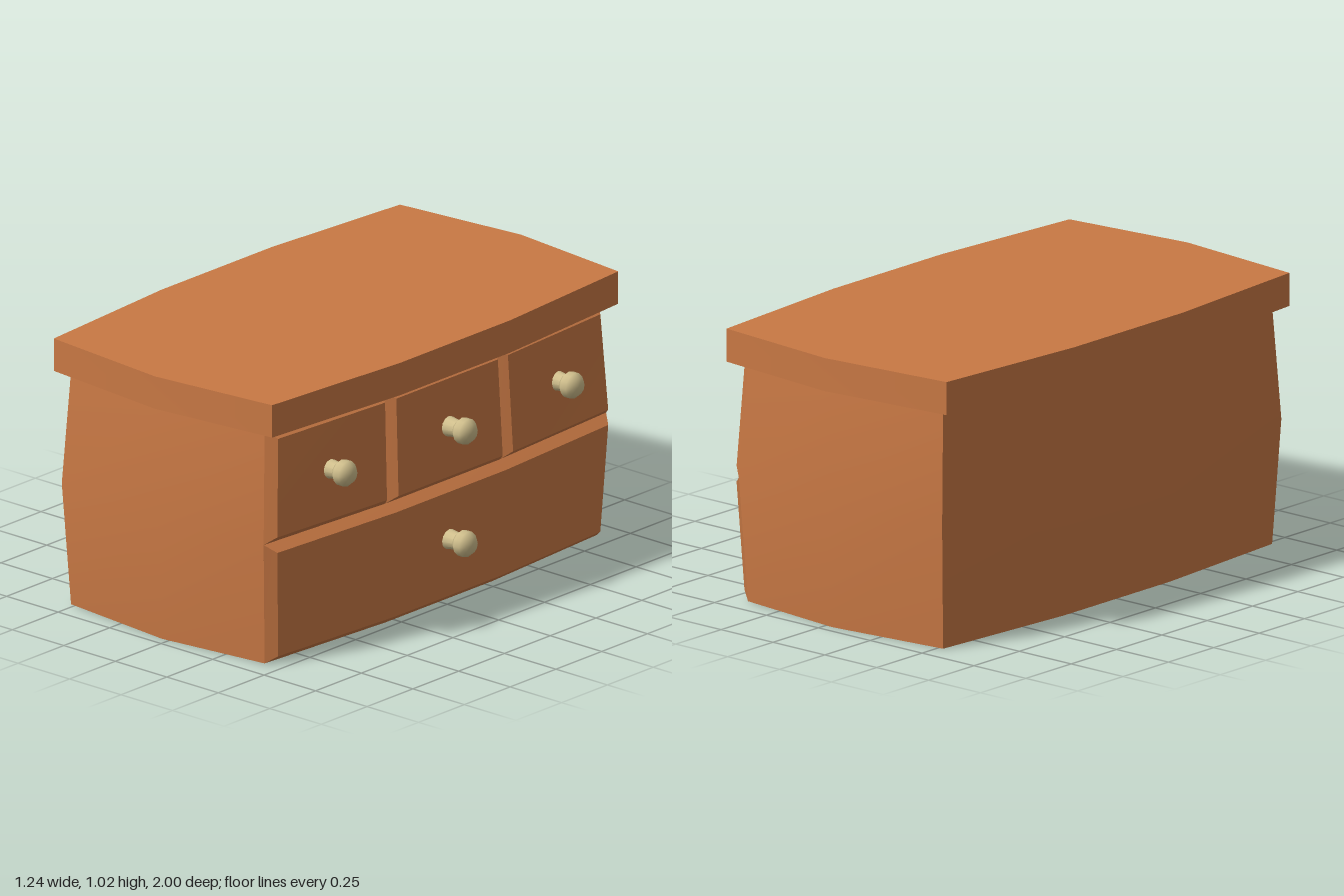
import * as THREE from 'three';
import { toCreasedNormals } from 'three/addons/utils/BufferGeometryUtils.js';

const MID = 0.47, HEIGHT = 0.9;
const CORNER = 0.935, BEND = 0.3, DIVIDER = 0.315;
const BEVEL = 0.03, RAISE = 0.038;

// bulge factor: 0 at the floor and under the lid, 1 at mid height
const bulge = (y) => (y < MID ? y / MID : (HEIGHT - y) / (HEIGHT - MID));
const lengthScale = (y) => 0.97 + 0.03 * bulge(y);

// point on the bowed drawer side of the body, pushed out by a distance
function drawerSide(y, u, out = 0) {
  const slope = Math.max(0, Math.abs(u) - BEND) / (CORNER - BEND);
  return [0.46 + 0.02 * bulge(y) - 0.04 * slope + out, y, u * lengthScale(y)];
}

function quadsToGeometry(quads) {
  const pos = [];
  for (const [a, b, c, d] of quads) pos.push(...a, ...b, ...c, ...a, ...c, ...d);
  const g = new THREE.BufferGeometry();
  g.setAttribute('position', new THREE.Float32BufferAttribute(pos, 3));
  return toCreasedNormals(g, 0.5);
}

// body: three stacked plan sections
function bodyGeometry() {
  const section = (y) => {
    const t = bulge(y), s = lengthScale(y);
    const back = -0.565 - 0.02 * t;
    const half = [
      drawerSide(y, -BEND), drawerSide(y, -CORNER), [-0.03, y, -0.99 * s],
      [back + 0.045, y, -CORNER * s], [back, y, -BEND * s],
    ];
    const mirrored = half.map(([x, h, z]) => [x, h, -z]).reverse();
    return [...half, ...mirrored];
  };
  const rings = [0, MID, HEIGHT].map(section);
  const quads = [];
  const n = rings[0].length;
  for (let r = 0; r < 2; r++) {
    for (let i = 0; i < n; i++) {
      const j = (i + 1) % n;
      quads.push([rings[r][i], rings[r][j], rings[r + 1][j], rings[r + 1][i]]);
    }
  }
  // floor and ceiling, spanned between mirrored points
  for (let i = 0; i < 4; i++) {
    const k = n - 1 - i;
    const [lo, , hi] = rings;
    quads.push([lo[k], lo[k - 1], lo[i + 1], lo[i]]);
    quads.push([hi[i], hi[i + 1], hi[k - 1], hi[k]]);
  }
  return quadsToGeometry(quads);
}

// raised drawer front with bevelled border, following the bowed side
function drawerGeometry(y0, y1, u0, u1) {
  const bends = [BEND, -BEND].filter((u) => u < u0 - 0.05 && u > u1 + 0.05);
  const outer = [u0, ...bends, u1];
  const inner = [u0 - BEVEL, ...bends, u1 + BEVEL];
  const rows = [
    outer.map((u) => drawerSide(y0, u)),
    inner.map((u) => drawerSide(y0 + BEVEL, u, RAISE)),
    inner.map((u) => drawerSide(y1 - BEVEL, u, RAISE)),
    outer.map((u) => drawerSide(y1, u)),
  ];
  const quads = [];
  const n = outer.length - 1;
  for (let r = 0; r < 3; r++) {
    for (let i = 0; i < n; i++) {
      quads.push([rows[r][i], rows[r][i + 1], rows[r + 1][i + 1], rows[r + 1][i]]);
    }
  }
  quads.push([rows[0][0], rows[1][0], rows[2][0], rows[3][0]]);
  quads.push([rows[1][n], rows[0][n], rows[3][n], rows[2][n]]);
  return quadsToGeometry(quads);
}

// lid: extruded bowed outline
function lidGeometry() {
  const half = [[0.54, 0.3], [0.49, 0.945], [-0.03, 1], [-0.57, 0.945], [-0.62, 0.3]];
  const outline = [...half, ...half.map(([x, z]) => [x, -z]).reverse()];
  const shape = new THREE.Shape(outline.map(([x, z]) => new THREE.Vector2(x, z)));
  const g = new THREE.ExtrudeGeometry(shape, { depth: 0.125, bevelEnabled: false });
  g.rotateX(-Math.PI / 2).translate(0, HEIGHT, 0);
  return toCreasedNormals(g, 0.5);
}

// knob: turned profile lying along +x, tip at 0.11
function knobGeometry() {
  const profile = [
    [0.038, -0.02], [0.038, 0], [0.031, 0.045], [0.034, 0.045],
    [0.049, 0.062], [0.049, 0.09], [0.032, 0.11], [0, 0.11],
  ].map(([r, h]) => new THREE.Vector2(r, h));
  const g = new THREE.LatheGeometry(profile, 12);
  g.rotateZ(-Math.PI / 2);
  return toCreasedNormals(g, 0.9);
}

export function createModel() {
  const wood = new THREE.MeshStandardMaterial({ color: 0xc87844 });
  wood.name = 'wood';
  const knobMaterial = new THREE.MeshStandardMaterial({ color: 0xcfbe8c });
  knobMaterial.name = 'paleKnob';

  const model = new THREE.Group();
  model.name = 'chestOfDrawers';
  const add = (name, geometry, material) => {
    const mesh = new THREE.Mesh(geometry, material);
    mesh.name = name;
    model.add(mesh);
    return mesh;
  };

  add('body', bodyGeometry(), wood);
  add('lid', lidGeometry(), wood);

  // one wide drawer below, three small ones above
  add('wideDrawer', drawerGeometry(0, MID, CORNER, -CORNER), wood);
  const edges = [CORNER, DIVIDER, -DIVIDER, -CORNER];
  for (let i = 0; i < 3; i++) {
    add(`smallDrawer${i + 1}`, drawerGeometry(MID, HEIGHT, edges[i], edges[i + 1]), wood);
  }

  const knob = knobGeometry();
  const knobs = [[0.51, 0.255, 0], [0.51, 0.69, 0], [0.477, 0.69, 0.62], [0.477, 0.69, -0.62]];
  knobs.forEach((p, i) => add(`knob${i + 1}`, knob, knobMaterial).position.set(...p));

  return model;
}
